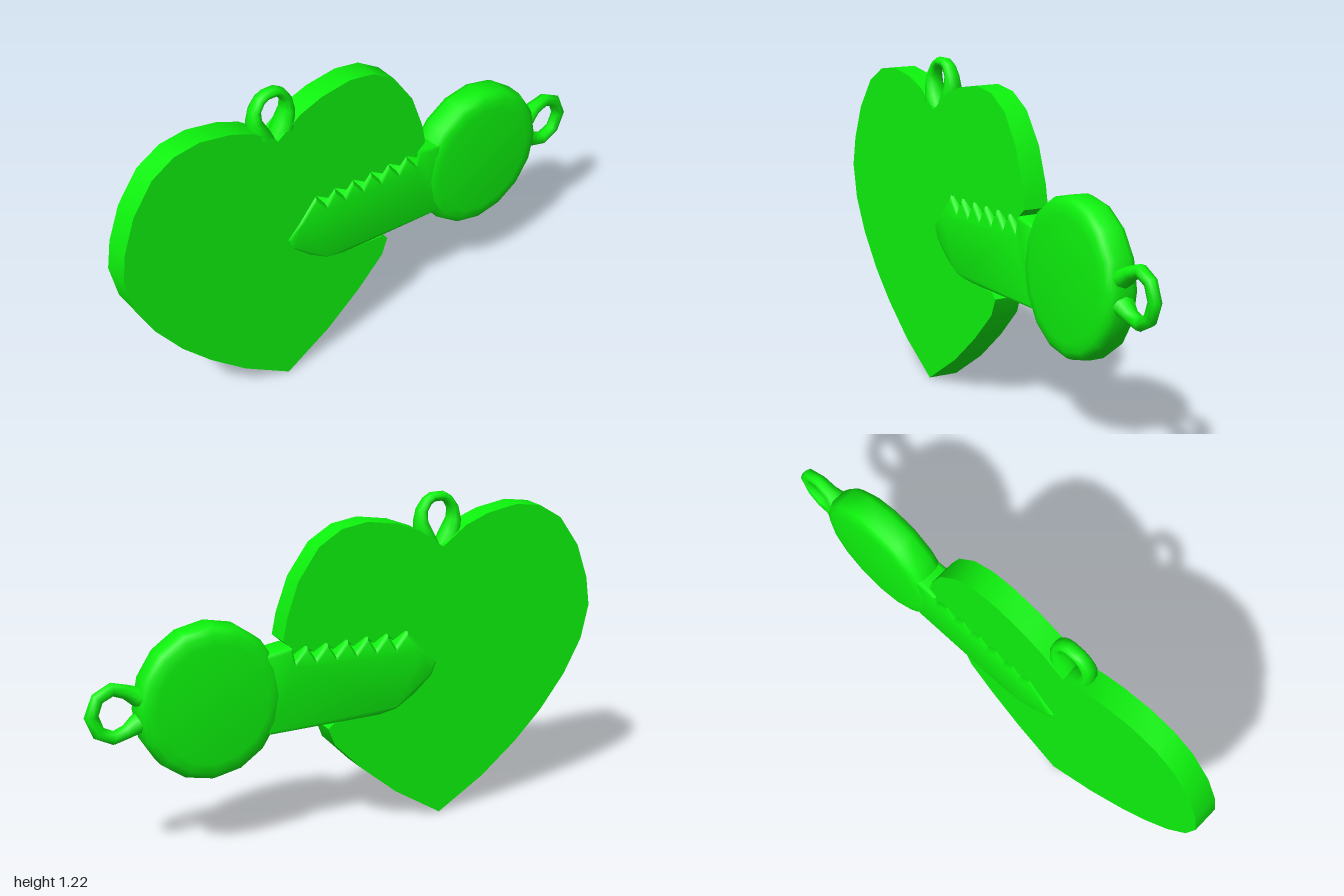
import * as THREE from 'three';
import { toCreasedNormals } from 'three/addons/utils/BufferGeometryUtils.js';

const material = new THREE.MeshStandardMaterial({ color: 0x0df20d });
const CX = -0.365; // heart's axis of symmetry

function part(name, geometry, crease = 0.6) {
  const mesh = new THREE.Mesh(toCreasedNormals(geometry, crease), material);
  mesh.name = name;
  return mesh;
}

const shapeOf = pts => new THREE.Shape(pts.map(p => new THREE.Vector2(p[0], p[1])));

// Zigzag of six teeth running left to right
function teeth(x0, peak, valley, shift) {
  const pts = [];
  for (let i = 0; i < 6; i++) {
    pts.push([x0 + i * 0.08, peak], [x0 + i * 0.08 + shift, valley]);
  }
  return pts;
}

// Bent rod in the xy plane; each station is [x, y, in-plane radius, z radius]
function rod(stations, sides = 10) {
  const pos = [], index = [], n = stations.length;
  stations.forEach(([x, y, r, rz], i) => {
    const a = stations[Math.max(i - 1, 0)], b = stations[Math.min(i + 1, n - 1)];
    const len = Math.hypot(b[0] - a[0], b[1] - a[1]);
    const nx = -(b[1] - a[1]) / len, ny = (b[0] - a[0]) / len;
    for (let j = 0; j < sides; j++) {
      const t = j / sides * Math.PI * 2, c = Math.cos(t) * r;
      pos.push(x + nx * c, y + ny * c, Math.sin(t) * rz);
    }
  });
  for (let i = 0; i < n - 1; i++) {
    for (let j = 0; j < sides; j++) {
      const k = (j + 1) % sides, p = i * sides, q = p + sides;
      index.push(p + j, p + k, q + j, p + k, q + k, q + j);
    }
  }
  const g = new THREE.BufferGeometry();
  g.setAttribute('position', new THREE.Float32BufferAttribute(pos, 3));
  g.setIndex(index);
  return g;
}

function heart() {
  // Left half from the dip at the top round to the bottom tip
  const left = [[CX, 1.03], [-0.46, 1.1], [-0.55, 1.135], [-0.67, 1.155], [-0.77, 1.14], [-0.86, 1.085],
    [-0.94, 0.97], [-0.985, 0.84], [-1, 0.73], [-0.97, 0.6], [-0.9, 0.47], [-0.8, 0.34], [-0.69, 0.23],
    [-0.55, 0.115], [CX, 0]];
  const right = left.slice(1, -1).map(([x, y]) => [2 * CX - x, y]).reverse();
  // Slot cut in from the right side, shaped to hold the key blade
  const slot = [[0.095, 0.405], [0.07, 0.425], [-0.11, 0.435], [-0.18, 0.455], [-0.25, 0.5], [-0.315, 0.555],
    [-0.335, 0.6], [-0.285, 0.65], ...teeth(-0.215, 0.735, 0.705, 0.05), [0.235, 0.73], [0.27, 0.76]];
  const outline = [...left, ...right.filter(p => p[1] < 0.4), ...slot, ...right.filter(p => p[1] > 0.8)];
  const g = new THREE.ExtrudeGeometry(shapeOf(outline), { depth: 1, bevelEnabled: false });
  // Plate is a little thicker towards the bottom tip
  const p = g.attributes.position;
  for (let i = 0; i < p.count; i++) {
    p.setZ(i, p.getZ(i) > 0.5 ? 0.067 - 0.023 * p.getY(i) : -0.05);
  }
  return part('heart', g);
}

function blade() {
  const outline = [[0.34, 0.42], [0.34, 0.72], [0.235, 0.735],
    ...teeth(-0.22, 0.737, 0.68, 0.045).reverse(),
    [-0.29, 0.655], [-0.345, 0.6], [-0.325, 0.55], [-0.25, 0.485], [-0.18, 0.44], [-0.11, 0.427]].reverse();
  const g = new THREE.ExtrudeGeometry(shapeOf(outline), {
    depth: 0.084, bevelThickness: 0.018, bevelSize: 0.014, bevelOffset: -0.014, bevelSegments: 2,
  });
  g.translate(0, 0, -0.042);
  return part('keyBlade', g, 0.8);
}

function head() {
  // Round pad with softened rims
  const profile = [[0, -0.067], [0.22, -0.067], [0.255, -0.062], [0.276, -0.05], [0.285, -0.03],
    [0.285, 0.03], [0.276, 0.05], [0.255, 0.062], [0.22, 0.067], [0, 0.067]];
  const g = new THREE.LatheGeometry(profile.map(p => new THREE.Vector2(p[0], p[1])), 16);
  g.rotateX(Math.PI / 2);
  g.scale(0.95, 1, 1);
  g.translate(0.54, 0.572, 0);
  return part('keyHead', g, 0.9);
}

export function createModel() {
  const group = new THREE.Group();
  group.name = 'heartAndKeyPendant';

  // Hanging loop in the dip of the heart: left leg mirrored to the right
  const leg = [[-0.39, 1.0, 0.045, 0.045], [-0.42, 1.07, 0.037, 0.045], [-0.432, 1.12, 0.025, 0.036],
    [-0.428, 1.16, 0.02, 0.03], [-0.407, 1.192, 0.018, 0.027], [-0.385, 1.205, 0.018, 0.026]];
  const mirrored = leg.map(([x, y, r, z]) => [2 * CX - x, y, r, z]).reverse();
  const loop = part('heartLoop', rod([...leg, ...mirrored]), 1.2);

  // Eight-sided ring at the end of the key: upper half mirrored below
  const RY = 0.575;
  const upper = [[0.76, 0.61, 0.045, 0.055], [0.805, 0.626, 0.034, 0.042], [0.84, 0.647, 0.026, 0.029],
    [0.89, 0.663, 0.025, 0.025], [0.943, 0.637, 0.025, 0.023], [0.967, RY, 0.027, 0.022]];
  const lower = upper.slice(0, -1).map(([x, y, r, z]) => [x, 2 * RY - y, r, z]).reverse();
  const ring = part('keyRing', rod([...upper, ...lower], 8), 1.2);

  group.add(heart(), loop, blade(), head(), ring);
  // Rods may be traversed either way round, so show both faces
  material.side = THREE.DoubleSide;
  return group;
}
